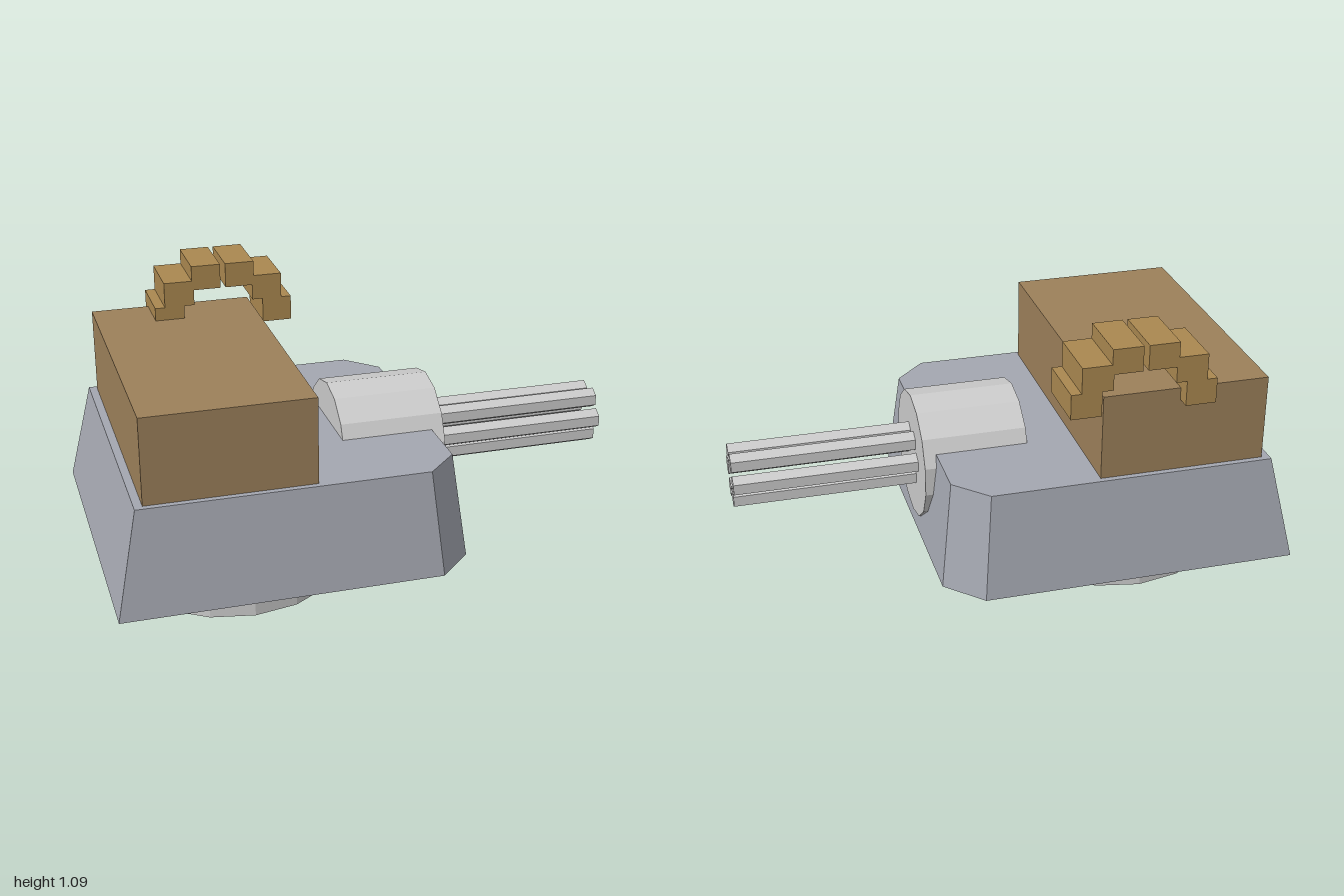
import * as THREE from 'three';
import { ConvexGeometry } from 'three/addons/geometries/ConvexGeometry.js';

const material = (color) => new THREE.MeshStandardMaterial({ color, flatShading: true });
const grey = material(0xcccccc);
const hullPaint = material(0xa4a7b0);
const crateBrown = material(0x9c805a);
const archBrown = material(0xaa8850);

function add(parent, name, geometry, mat, x = 0, y = 0, z = 0) {
  const mesh = new THREE.Mesh(geometry, mat);
  mesh.name = name;
  mesh.position.set(x, y, z);
  parent.add(mesh);
  return mesh;
}

// Cylinder lying along x between x0 and x1, with a corner pointing up
function rod(radius, x0, x1, sides) {
  return new THREE.CylinderGeometry(radius, radius, x1 - x0, sides)
    .rotateY(Math.PI / 2)
    .rotateZ(-Math.PI / 2)
    .translate((x0 + x1) / 2, 0, 0);
}

// Outline of the hull at one height: square back, chamfered front corners
function hullRing(y, back, front, half, chamfer) {
  const side = [[back, half], [front - chamfer, half], [front, half - chamfer]];
  return side.flatMap(([x, z]) => [new THREE.Vector3(x, y, z), new THREE.Vector3(x, y, -z)]);
}

export function createModel() {
  const model = new THREE.Group();
  model.name = 'turret';

  // Round base ring
  add(model, 'turretBase', new THREE.CylinderGeometry(0.427, 0.427, 0.167, 16), grey, -0.478, 0.0835, 0);

  // Tapered hull
  add(model, 'hull', new ConvexGeometry([
    ...hullRing(0.167, -1, 0.31, 0.623, 0.13),
    ...hullRing(0.56, -0.915, 0.263, 0.562, 0.118),
  ]), hullPaint);

  // Ammunition box on the back of the roof
  add(model, 'ammoBox', new THREE.BoxGeometry(0.62, 0.335, 1.08), crateBrown, -0.575, 0.7175, 0);

  // Gun housing and its ring of six barrels
  add(model, 'gunHousing', rod(0.245, -0.085, 0.31, 14), grey, 0, 0.46, 0);
  const barrels = new THREE.Group();
  barrels.name = 'barrels';
  model.add(barrels);
  for (let i = 0; i < 6; i++) {
    const a = (i / 6) * Math.PI * 2;
    add(barrels, 'barrel', rod(0.04, 0.3, 1, 6), grey, 0, 0.462 + Math.sin(a) * 0.083, Math.cos(a) * 0.083);
  }

  // Stepped ammunition feed: two mirrored halves with a small gap at the crown
  const feed = new THREE.Group();
  feed.name = 'ammoFeed';
  model.add(feed);
  const steps = [
    [0.01, 1.09], [0.01, 0.995], [0.115, 0.995], [0.115, 0.935], [0.155, 0.935], [0.155, 0.84],
    [0.268, 0.84], [0.268, 0.935], [0.23, 0.935], [0.23, 1.032], [0.122, 1.032], [0.122, 1.09],
  ];
  for (const s of [1, -1]) {
    const outline = new THREE.Shape(steps.map(([x, y]) => new THREE.Vector2(x * s, y)));
    const geometry = new THREE.ExtrudeGeometry(outline, { depth: 0.23, bevelEnabled: false });
    add(feed, s > 0 ? 'feedFrontHalf' : 'feedBackHalf', geometry, archBrown, -0.396, 0, -0.594);
  }

  return model;
}
